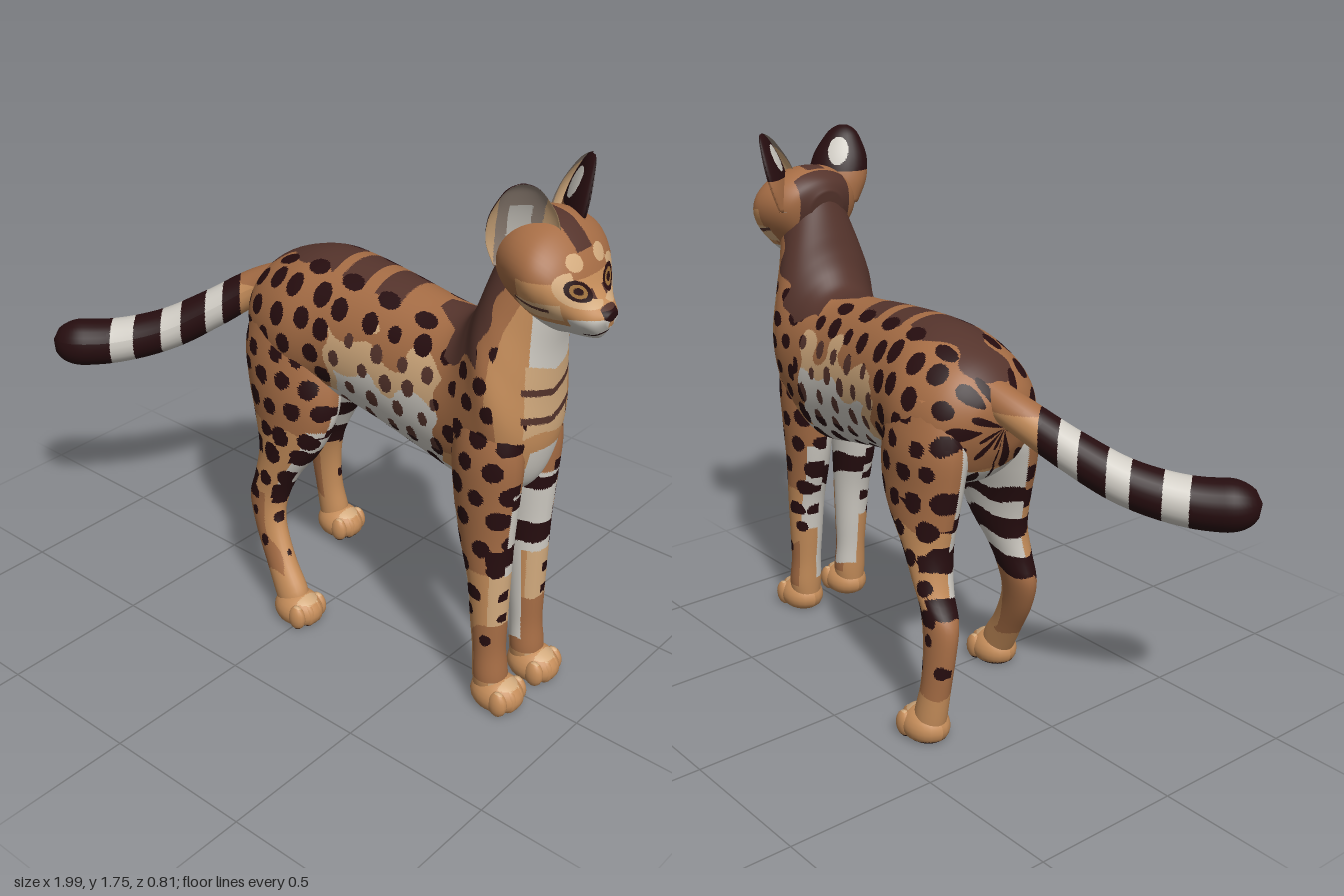
import * as THREE from 'three';

const palette = {
  brown: 0xa66d45, tan: 0xc58d5a, lightTan: 0xd3ab7e, cream: 0xd0ccc4, darkBrown: 0x55342c,
  spotBlack: 0x260d0f, earGrey: 0x96867a, amber: 0x9c6f3a,
};
const materials = Object.entries(palette).map(([name, color]) => Object.assign(new THREE.MeshStandardMaterial({ color }), { name }));
const [BROWN, TAN, LIGHT, CREAM, DARK, SPOT, GREY, AMBER] = materials.keys();

const clamp = (v) => Math.min(1, Math.max(0, v));
const hash = (a, b) => {
  const s = Math.sin(a * 127.1 + b * 311.7) * 43758.5453;
  return s - Math.floor(s);
};
// Staggered, jittered rows of oval spots on a (p, q) plane
function spotted(p, q, spacing, rx, ry) {
  const row = Math.floor(q / spacing), pp = p / spacing + (row & 1) * 0.5, col = Math.floor(pp);
  const size = 0.8 + 0.4 * hash(col + 9, row);
  const dx = pp - col - 0.5 - (hash(col, row) - 0.5) * 0.3;
  const dy = q / spacing - row - 0.5 - (hash(row, col + 5) - 0.5) * 0.3;
  return (dx / rx) ** 2 + (dy / ry) ** 2 < size * size;
}

// Closed skin over rings: pointAt(u, angle), with both ends capped
function skin(nu, nv, pointAt) {
  const pos = [], index = [];
  for (let i = 0; i <= nu; i++)
    for (let j = 0; j < nv; j++) pos.push(...pointAt(i / nu, (j / nv) * Math.PI * 2));
  for (let i = 0; i < nu; i++)
    for (let j = 0; j < nv; j++) {
      const a = i * nv + j, b = i * nv + ((j + 1) % nv);
      index.push(a, b, a + nv, b, b + nv, a + nv);
    }
  for (const end of [0, nu]) {
    const c = [0, 0, 0], id = pos.length / 3;
    for (let j = 0; j < nv; j++) for (let k = 0; k < 3; k++) c[k] += pos[(end * nv + j) * 3 + k] / nv;
    pos.push(...c);
    for (let j = 0; j < nv; j++) {
      const a = end * nv + j, b = end * nv + ((j + 1) % nv);
      index.push(id, ...(end ? [a, b] : [b, a]));
    }
  }
  const g = new THREE.BufferGeometry();
  g.setAttribute('position', new THREE.Float32BufferAttribute(pos, 3));
  g.setIndex(index);
  g.computeVertexNormals();
  return g;
}

// Rings given as [ax, ay, bx, by, zCentre, halfWidth]: a and b are opposite sides in profile; egg narrows side b
function loft(rings, nu, nv, egg = 0) {
  const curve = (f) => new THREE.CatmullRomCurve3(rings.map((r) => new THREE.Vector3(...f(r))), false, 'catmullrom', 0.5);
  const ca = curve((r) => [r[0], r[1], r[4]]), cb = curve((r) => [r[2], r[3], r[5]]);
  return skin(nu, nv, (u, t) => {
    const a = ca.getPoint(u), b = cb.getPoint(u), c = Math.cos(t), w = b.z * (1 + egg * (c - 0.55 * c * c));
    return [(a.x + b.x + (a.x - b.x) * c) / 2, (a.y + b.y + (a.y - b.y) * c) / 2, a.z + w * Math.sin(t)];
  });
}

// One geometry group per colour from rule(point, normal); triangles are split finer along colour edges
function painted(name, source, rule) {
  const P = source.attributes.position, N = source.attributes.normal, index = source.index.array;
  const blend = (...vs) => {
    const p = new THREE.Vector3(), n = new THREE.Vector3();
    for (const v of vs) p.addScaledVector(v.p, 1 / vs.length), n.add(v.n);
    return { p, n: n.normalize(), id: rule(p, n) };
  };
  const verts = Array.from({ length: P.count }, (_, i) =>
    blend({ p: new THREE.Vector3().fromBufferAttribute(P, i), n: new THREE.Vector3().fromBufferAttribute(N, i) }));
  const buckets = materials.map(() => []);
  const emit = (a, b, c, depth) => {
    const { id } = blend(a, b, c);
    if (!depth || [a, b, c].every((v) => v.id === id)) return buckets[id].push(a, b, c);
    const ab = blend(a, b), bc = blend(b, c), ca = blend(c, a);
    for (const t of [[a, ab, ca], [ab, b, bc], [ca, bc, c], [ab, bc, ca]]) emit(...t, depth - 1);
  };
  for (let i = 0; i < index.length; i += 3) emit(verts[index[i]], verts[index[i + 1]], verts[index[i + 2]], 2);
  const out = new THREE.BufferGeometry(), all = buckets.flat();
  out.setAttribute('position', new THREE.Float32BufferAttribute(all.flatMap((v) => v.p.toArray()), 3));
  out.setAttribute('normal', new THREE.Float32BufferAttribute(all.flatMap((v) => v.n.toArray()), 3));
  let start = 0;
  buckets.forEach((b, i) => {
    if (b.length) out.addGroup(start, b.length, i);
    start += b.length;
  });
  return Object.assign(new THREE.Mesh(out, materials), { name });
}

// Coat of the trunk and neck
function bodyCoat({ x, y, z }, n) {
  const zc = -0.03 - 0.08 * clamp((0.6 - x) / 0.8), dz = Math.abs(z - zc);
  const wob = 0.02 * Math.sin(x * 31 + z * 9) + 0.015 * Math.sin(y * 47 + x * 13);
  if (n.x > 0.45 && x > 0.68) {
    if (y > 1.16 + wob + dz * 0.5) return dz < 0.1 ? CREAM : TAN;
    if (dz < 0.12 && [1.09, 1.0].some((s) => Math.abs(y - s - dz * 0.25) < 0.011)) return DARK;
    if (y < 0.91 + wob && dz < 0.075) return CREAM;
    return y < 1.02 && dz > 0.1 && spotted(x + z, y, 0.08, 0.27, 0.27) ? SPOT : y > 0.98 + wob && dz < 0.11 ? LIGHT : TAN;
  }
  if (x > 0.5 && y > 1.17 + wob && x < 0.65 + 0.25 * (y - 1.2) + wob) return DARK;
  if (x > 0.5 && y > 1.26) return x > 0.79 ? CREAM : BROWN;
  if (x > 0.58 && y > 0.85) return spotted(x, y, 0.085, 0.26, 0.3) ? SPOT : x > 0.7 && y > 1.05 + wob ? TAN : BROWN;
  const q = Math.atan2(dz, y - 1.01) * 0.25, step = ((x + 2.085) % 0.15) - 0.075;
  const flank = x > 0.06 + wob && x < 0.52 + wob, pale = flank && y > 0.84 && y < 1.12;
  if (x < 0.45 && (step / 0.042) ** 2 + ((q - 0.1) / 0.029) ** 2 < 1) return SPOT;
  if (q > 0.137 && spotted(x + (z > zc ? 0 : 0.04), q - 0.035, 0.102, pale ? 0.2 : 0.27, pale ? 0.34 : 0.36)) return pale ? DARK : SPOT;
  if (n.y > 0.6) {
    if (x > 0.4 && q < 0.03 + (x - 0.4) * 0.6) return DARK;
    if (x < 0 && q < 0.09 + wob) return DARK;
    if (((x > 0.04 && x < 0.13) || (x > 0.18 && x < 0.28)) && q < 0.1) return DARK;
  }
  if (n.y < -0.55) return CREAM;
  if (flank && y < 0.99 + wob && x > 0.1 + wob) return CREAM;
  if (flank && y < 1.1 + wob * 2) return LIGHT;
  return y < 0.86 + wob ? TAN : BROWN;
}

// Coat of the face
function headCoat({ x, y, z }) {
  const az = Math.abs(z + 0.03 - 0.03 * clamp((x - 0.72) / 0.2));
  if (x > 0.972 && y > 1.378 + az * 0.5 && az < 0.034) return y > 1.415 ? DARK : SPOT;
  if (x > 0.93 && az < 0.045 && Math.abs(y - 1.352 + az * 0.4) < 0.004) return SPOT;
  if (x > 0.82) {
    const ey = (y - 1.472 - 0.25 * (az - 0.072)) / 0.027, ez = (az - 0.072) / 0.041, e = ey * ey + ez * ez;
    if (e < 0.14) return SPOT;
    if (e < 0.48) return AMBER;
    if (e < 1.1) return SPOT;
    if (e < 3 && (ey < -0.6 || az > 0.08)) return LIGHT;
    if (az > 0.022 && az < 0.034 && y > 1.425 && y < 1.47) return DARK;
    if (((az - 0.058) / 0.03) ** 2 + ((y - 1.54) / 0.022) ** 2 < 1) return LIGHT;
  }
  if (x > 0.91 && y < 1.395 && az > 0.012) return CREAM;
  if (y < 1.365) return CREAM;
  if (x > 0.76 && x < 0.87 && Math.abs(y - 1.415 - (0.87 - x) * 0.15) < 0.006) return DARK;
  if (az < 0.035 && y > 1.56 && x > 0.7) return DARK;
  if (x < 0.69 && az < 0.1) return DARK;
  if (y < 1.44 && y > 1.385 && x < 0.9 && x > 0.76) return LIGHT;
  return y > 1.5 || x < 0.78 ? BROWN : TAN;
}

// Coat of a leg: spotted outside, pale and banded inside
const legCoat = (side, bands, front) => ({ x, y, z }, n) => {
  const out = n.z * side, wave = 0.012 * Math.sin(x * 40 + z * 30);
  const inner = out < -0.15 || (n.x > 0.6 && out < 0.3 && y > 0.48 && y < 0.78);
  const banded = inner || (y < 0.7 && (n.x > 0 || !front));
  if (banded && bands.some((b) => Math.abs(y - b - wave) < (b > 0.7 ? 0.02 : 0.033) - out * 0.006 && out < 0.93)) return SPOT;
  if (!inner && y > 0.4 && spotted(x, y, 0.092, 0.32, 0.35)) return SPOT;
  if (!inner && y > 0.2 && y <= 0.4 && spotted(x + 0.03, y, 0.1, 0.16, 0.2)) return SPOT;
  if (front) {
    if (inner && y < 0.78 && y > (n.x > 0.3 ? 0.48 : 0.14) + wave) return CREAM;
    if (n.x < -0.6 && y > 0.34 && y < 0.68) return CREAM;
    if (y < 0.5) return y < 0.29 + wave * 2 && y > 0.1 ? (n.x < -0.5 ? TAN : BROWN) : n.x > 0.5 ? LIGHT : TAN;
    return BROWN;
  }
  if (y > 0.43 + wave && (inner || (n.x > 0.45 && y < 0.72))) return CREAM;
  if (y < 0.43) return y > 0.16 + wave && n.x < 0.3 + wave * 20 ? BROWN : TAN;
  return y > 0.7 + wave ? BROWN : TAN;
};

// Paw with four toes, flat on the ground
function paw(x, z, soleColour) {
  const group = new THREE.Group();
  group.name = 'paw';
  const pad = (name, px, py, pz, rx, ry, rz, n) => {
    const g = new THREE.SphereGeometry(1, n * 2, n).scale(rx, ry, rz).translate(px, py, pz), p = g.attributes.position;
    for (let i = 0; i < p.count; i++) p.setY(i, Math.max(0, p.getY(i)));
    g.computeVertexNormals();
    group.add(painted(name, g, (c, nn) => (c.y < 0.012 && nn.y < -0.6 ? soleColour : nn.y > 0.75 && c.x > x + 0.03 ? LIGHT : TAN)));
  };
  pad('pawBase', x, 0.042, z, 0.09, 0.064, 0.074, 12);
  for (const o of [-1.5, -0.5, 0.5, 1.5])
    pad('toe', x + 0.06 - Math.abs(o) * 0.014, 0.042, z + o * 0.035, 0.034, 0.045, 0.024, 8);
  return group;
}

export function createModel() {
  const cat = new THREE.Group();
  cat.name = 'spottedCat';

  // Trunk and neck, rump to throat
  cat.add(painted('body', loft([
    [-0.385, 1.06, -0.375, 1.0, -0.1, 0.03], [-0.36, 1.13, -0.34, 0.9, -0.1, 0.13], [-0.28, 1.21, -0.27, 0.81, -0.105, 0.205],
    [-0.14, 1.262, -0.12, 0.77, -0.1, 0.24], [0, 1.275, 0.04, 0.79, -0.09, 0.215], [0.2, 1.265, 0.2, 0.77, -0.075, 0.195],
    [0.4, 1.245, 0.4, 0.73, -0.06, 0.185], [0.5, 1.25, 0.58, 0.7, -0.05, 0.185], [0.55, 1.3, 0.74, 0.75, -0.035, 0.19],
    [0.58, 1.36, 0.8, 0.9, -0.03, 0.195], [0.6, 1.42, 0.805, 1.08, -0.03, 0.17], [0.62, 1.48, 0.81, 1.22, -0.03, 0.142],
    [0.645, 1.55, 0.83, 1.33, -0.03, 0.115],
  ], 90, 64), bodyCoat));

  // Head, nape to nose
  cat.add(painted('head', loft([
    [0.63, 1.56, 0.66, 1.4, -0.03, 0.06], [0.655, 1.605, 0.7, 1.34, -0.03, 0.13], [0.72, 1.635, 0.76, 1.305, -0.03, 0.17],
    [0.8, 1.627, 0.82, 1.295, -0.025, 0.185], [0.86, 1.59, 0.865, 1.305, -0.014, 0.16], [0.905, 1.535, 0.9, 1.31, -0.006, 0.12],
    [0.94, 1.465, 0.935, 1.315, -0.002, 0.082], [0.975, 1.425, 0.962, 1.325, 0, 0.055], [0.995, 1.41, 0.988, 1.362, 0, 0.026],
  ], 56, 56, 0.34), headCoat));

  // Cupped ears with rounded tips, opening forward and outward
  const earWidth = new THREE.SplineCurve([[0, 0.08], [0.3, 0.1], [0.6, 0.092], [0.85, 0.06], [0.95, 0.038], [1, 0.014]].map((p) => new THREE.Vector2(...p)));
  for (const s of [1, -1]) {
    const open = new THREE.Vector3(0.7, 0.1, 0.7 * s);
    const geo = skin(22, 28, (u, t) => {
      const { x: v, y: w } = earWidth.getPoint(u), c = Math.cos(t) * w * 0.72 * s;
      const back = Math.abs(Math.sin(t)) * w * (Math.sin(t) > 0 ? 0.5 : 0.26);
      return [0.745 + 0.03 * v + c * s - back, 1.5 + 0.255 * v, -0.03 + s * (0.105 + 0.065 * v - back) - c];
    });
    cat.add(painted(s > 0 ? 'leftEar' : 'rightEar', geo, (c, n) => {
      const across = Math.abs(c.x - 0.745 - (c.z + 0.03 - s * 0.13) * s);
      if (n.dot(open) > 0.1) return across > 0.09 ? LIGHT : across < 0.045 && c.y < 1.68 ? CREAM : GREY;
      if ((across / 0.05) ** 2 + ((c.y - 1.675) / 0.045) ** 2 < 1) return CREAM;
      return c.y > 1.61 ? SPOT : BROWN;
    }));
  }

  // Front legs
  for (const s of [1, -1]) {
    const z = -0.02 + s * 0.1;
    cat.add(painted(s > 0 ? 'frontLeftLeg' : 'frontRightLeg', loft([
      [0.75, 1.05, 0.57, 1.05, z, 0.06], [0.785, 0.9, 0.55, 0.9, z, 0.085], [0.78, 0.75, 0.56, 0.75, z, 0.08],
      [0.77, 0.6, 0.585, 0.6, z, 0.07], [0.765, 0.45, 0.625, 0.45, z, 0.064], [0.763, 0.3, 0.645, 0.3, z, 0.058],
      [0.764, 0.2, 0.657, 0.2, z, 0.054], [0.775, 0.11, 0.663, 0.11, z, 0.058], [0.775, 0.04, 0.67, 0.04, z, 0.05],
    ], 44, 24), legCoat(s, [0.74, 0.55], true)));
    cat.add(paw(0.75, z, TAN));
  }

  // Hind legs, the left one a step ahead
  cat.add(painted('hindLeftLeg', loft([
    [-0.02, 1.1, -0.3, 1.1, 0.03, 0.08], [0.03, 0.95, -0.335, 0.95, 0.04, 0.105], [0.06, 0.82, -0.31, 0.82, 0.06, 0.1],
    [0.045, 0.72, -0.275, 0.7, 0.075, 0.085], [-0.01, 0.61, -0.25, 0.58, 0.085, 0.073], [-0.075, 0.52, -0.262, 0.47, 0.1, 0.06],
    [-0.12, 0.42, -0.28, 0.38, 0.11, 0.05], [-0.125, 0.33, -0.24, 0.27, 0.125, 0.044], [-0.07, 0.21, -0.17, 0.16, 0.145, 0.045],
    [0, 0.11, -0.11, 0.06, 0.16, 0.05], [0, 0.04, -0.09, 0.03, 0.16, 0.045],
  ], 44, 24), legCoat(1, [0.72, 0.6, 0.46], false)));
  cat.add(paw(-0.025, 0.162, SPOT));
  cat.add(painted('hindRightLeg', loft([
    [-0.02, 1.1, -0.3, 1.1, -0.24, 0.08], [0, 0.95, -0.34, 0.95, -0.25, 0.105], [0, 0.82, -0.335, 0.82, -0.26, 0.095],
    [-0.05, 0.72, -0.32, 0.7, -0.272, 0.085], [-0.13, 0.63, -0.31, 0.6, -0.283, 0.074], [-0.19, 0.54, -0.335, 0.48, -0.297, 0.062],
    [-0.24, 0.44, -0.385, 0.4, -0.31, 0.05], [-0.265, 0.33, -0.388, 0.3, -0.322, 0.044], [-0.268, 0.2, -0.372, 0.18, -0.332, 0.045],
    [-0.25, 0.1, -0.355, 0.06, -0.34, 0.05], [-0.25, 0.04, -0.34, 0.03, -0.34, 0.045],
  ], 44, 24), legCoat(-1, [0.72, 0.6, 0.45], false)));
  cat.add(paw(-0.275, -0.34, SPOT));

  // Ringed tail, thickening to a rounded tip
  const path = new THREE.CatmullRomCurve3([
    [-0.3, 1.11, -0.12], [-0.42, 1.05, -0.08], [-0.55, 0.955, 0.01], [-0.68, 0.872, 0.11],
    [-0.82, 0.826, 0.228], [-0.92, 0.822, 0.318], [-0.978, 0.832, 0.37],
  ].map((p) => new THREE.Vector3(...p)));
  const segs = 64, sides = 24, tail = new THREE.TubeGeometry(path, segs, 1, sides), tp = tail.attributes.position;
  for (let i = 0; i < tp.count; i++) {
    const u = Math.floor(i / (sides + 1)) / segs, c = path.getPointAt(u);
    const tip = Math.sqrt(Math.max(0, 1 - (Math.max(0, u - 0.88) / 0.12) ** 2));
    const v = new THREE.Vector3().fromBufferAttribute(tp, i).sub(c).multiplyScalar((0.055 + 0.03 * u) * tip).add(c);
    tp.setXYZ(i, v.x, v.y, v.z);
  }
  tail.computeVertexNormals();
  cat.add(painted('tail', tail, (c) => {
    const s = 0.62 * c.z - 0.78 * c.x;
    if (s < 0.335) return c.y > 1.07 ? BROWN : TAN;
    return [[0.395, 0.455], [0.54, 0.61], [0.705, 0.785]].some(([a, b]) => s > a && s < b) ? CREAM : SPOT;
  }));
  return cat;
}
